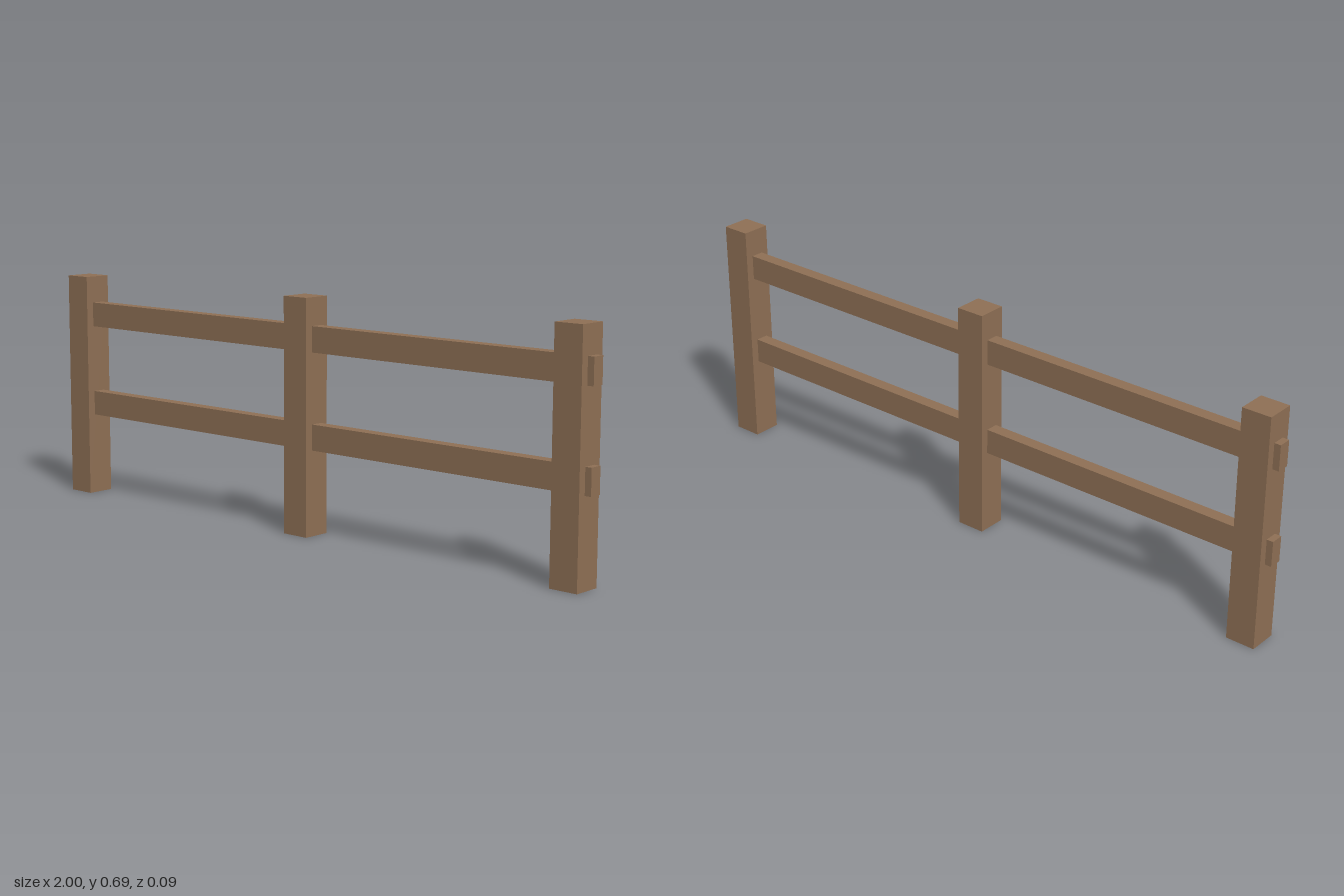
import * as THREE from 'three';

export function createModel() {
  const group = new THREE.Group();
  const wood = new THREE.MeshStandardMaterial({ color: 0x8f7055 });
  wood.name = 'brown wood';

  const addBeam = (name, [w, h, d], [x, y, z]) => {
    const mesh = new THREE.Mesh(new THREE.BoxGeometry(w, h, d), wood);
    mesh.name = name;
    mesh.position.set(x, y, z);
    group.add(mesh);
  };

  // Three square posts standing on the ground
  const postHeight = 0.688, postWidth = 0.0865;
  const posts = { rightPost: -0.9375, middlePost: 0, leftPost: 0.9375 };
  for (const [name, x] of Object.entries(posts)) {
    addBeam(name, [postWidth, postHeight, postWidth], [x, postHeight / 2, 0]);
  }

  // Two rails running through the posts, with short ends sticking out
  const rails = { lowerRail: 0.288, upperRail: 0.569 };
  for (const [name, y] of Object.entries(rails)) {
    addBeam(name, [2, 0.075, 0.0385], [0, y, 0]);
  }

  return group;
}
